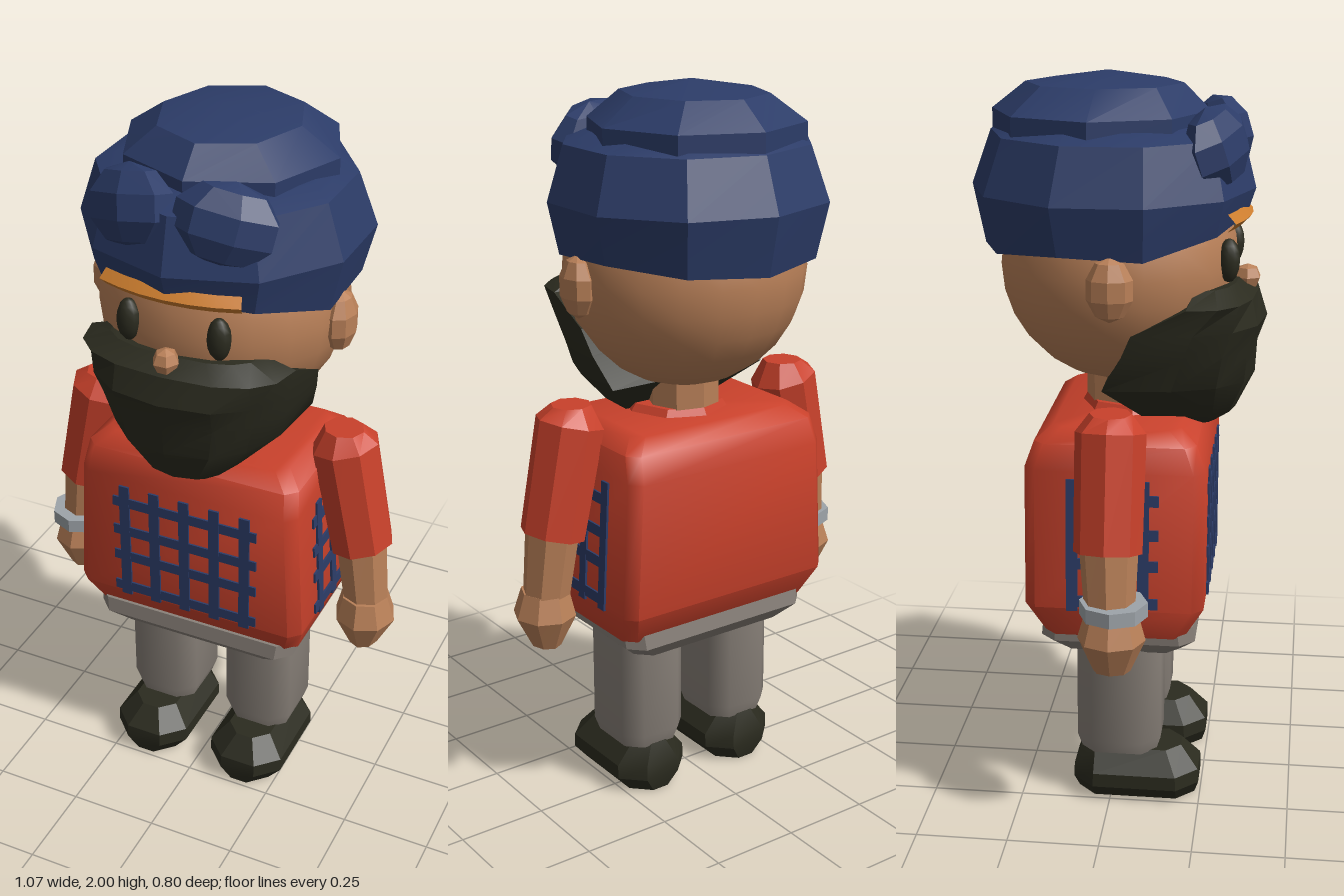
import * as THREE from 'three';
import { toCreasedNormals } from 'three/addons/utils/BufferGeometryUtils.js';

const paint = (name, color) => {
  const m = new THREE.MeshStandardMaterial({ color });
  m.name = name;
  return m;
};

// Horizontal oval ring, starting at the front; tilt raises the +x side
function oval(n, y, rx, rz, cx = 0, cz = 0, tilt = 0) {
  return Array.from({ length: n }, (_, i) => {
    const a = (i / n) * Math.PI * 2, dx = Math.sin(a) * rx;
    return [cx + dx, y + tilt * dx, cz + Math.cos(a) * rz];
  });
}

// Horizontal rectangle ring with cut corners
function block(y, hx, hz, c, cx = 0, cz = 0) {
  const corners = [[hx - c, hz], [hx, hz - c], [hx, c - hz], [hx - c, -hz],
    [c - hx, -hz], [-hx, c - hz], [-hx, hz - c], [c - hx, hz]];
  return corners.map(([x, z]) => [cx + x, y, cz + z]);
}

// Skin a stack of rings from bottom to top and cap both ends
function loft(rings, crease = 0.5) {
  const n = rings[0].length, index = [];
  for (let r = 0; r < rings.length - 1; r++) {
    for (let i = 0; i < n; i++) {
      const j = (i + 1) % n, a = r * n + i, b = r * n + j;
      index.push(a, b, b + n, a, b + n, a + n);
    }
  }
  const top = (rings.length - 1) * n;
  for (let i = 1; i < n - 1; i++) {
    index.push(0, i + 1, i, top, top + i, top + i + 1);
  }
  const g = new THREE.BufferGeometry();
  g.setAttribute('position', new THREE.Float32BufferAttribute(rings.flat(2), 3));
  g.setIndex(index);
  return toCreasedNormals(g, crease);
}

export function createModel() {
  const model = new THREE.Group();
  model.name = 'beardedFigure';
  const navy = paint('navyCloth', 0x2c3c68);
  const red = paint('redShirt', 0xc9412b);
  const skin = paint('skin', 0xb98058);
  const grey = paint('greyTrousers', 0x8a827a);
  const dark = paint('darkBrown', 0x2b2b1f);
  const orange = paint('orangeBand', 0xcc7d2e);
  const metal = paint('metal', 0x9ea4a9);

  const add = (name, geometry, material, x = 0, y = 0, z = 0, parent = model) => {
    const mesh = new THREE.Mesh(geometry, material);
    mesh.name = name;
    mesh.position.set(x, y, z);
    parent.add(mesh);
    return mesh;
  };
  const ball = (rx, ry, rz, w = 8, h = 6) => new THREE.SphereGeometry(1, w, h).scale(rx, ry, rz);

  // Torso, collar and hips
  add('shirt', loft([
    block(0.53, 0.31, 0.19, 0.03, 0, 0.02), block(0.62, 0.34, 0.24, 0.03, 0, 0.02),
    block(1.0, 0.32, 0.24, 0.03, 0, 0.02), block(1.07, 0.31, 0.215, 0.03, 0, 0.02),
    block(1.105, 0.265, 0.17, 0.03, 0, 0.02)], 0.9), red);
  add('collar', loft([oval(8, 1.07, 0.17, 0.17, 0, 0.05), oval(8, 1.125, 0.13, 0.14, 0, 0.05)]), red);
  add('neck', loft([oval(8, 1.05, 0.1, 0.1, 0, 0.01), oval(8, 1.26, 0.1, 0.1, 0, 0.01)], 0.4), skin);
  add('hips', loft([
    block(0.46, 0.25, 0.17, 0.04, 0, 0.025), block(0.505, 0.3, 0.21, 0.04, 0, 0.025),
    block(0.55, 0.305, 0.205, 0.04, 0, 0.025)]), grey);

  // Checked pattern: thin bars on the front and both sides
  const grid = (name, columns, from, to) => {
    const g = new THREE.Group();
    g.name = name;
    model.add(g);
    for (const x of columns) add('verticalBar', new THREE.BoxGeometry(0.03, 0.365, 0.008), navy, x, 0, 0, g);
    for (const y of [0.13, 0.036, -0.05, -0.155]) {
      add('horizontalBar', new THREE.BoxGeometry(to - from, 0.03, 0.007), navy, (from + to) / 2, y, 0, g);
    }
    return g;
  };
  grid('frontChecks', [-0.18, -0.09, 0, 0.09, 0.18], -0.215, 0.215).position.set(0, 0.798, 0.262);
  for (const s of [1, -1]) {
    const side = grid('sideChecks', [-0.1, -0.005, 0.09], -0.14, 0.105);
    if (s < 0) side.children.forEach((bar) => { bar.position.x *= -1; });
    side.position.set(s * 0.333, 0.798, 0);
    side.rotation.set(-0.053, s * Math.PI / 2, 0, 'YXZ');
  }

  for (const s of [1, -1]) {
    const label = s > 0 ? 'left' : 'right';
    // Arm
    add(label + 'Sleeve', loft([
      oval(8, 0.82, 0.086, 0.09, s * 0.426, 0.018, s * 0.25),
      oval(8, 1.125, 0.092, 0.093, s * 0.363, 0.018, s * 0.25),
      oval(8, 1.175, 0.055, 0.055, s * 0.358, 0.018)]), red);
    add(label + 'Forearm', loft([
      oval(8, 0.64, 0.065, 0.065, s * 0.447, 0.025),
      oval(8, 0.84, 0.074, 0.078, s * 0.424, 0.02)]), skin);
    add(label + 'Hand', loft([
      oval(8, 0.5, 0.04, 0.05, s * 0.45, 0.03), oval(8, 0.59, 0.086, 0.09, s * 0.45, 0.03),
      oval(8, 0.66, 0.066, 0.07, s * 0.447, 0.03)]), skin);

    // Leg and shoe
    add(label + 'Leg', loft([
      block(0.14, 0.09, 0.105, 0.04, s * 0.152, 0.022), block(0.18, 0.103, 0.117, 0.045, s * 0.152, 0.022),
      block(0.48, 0.103, 0.117, 0.045, s * 0.152, 0.022)], 0.9), grey);
    add(label + 'Shoe', loft([
      block(0, 0.075, 0.165, 0.05, s * 0.155, 0.07), block(0.045, 0.113, 0.177, 0.06, s * 0.155, 0.07),
      block(0.085, 0.113, 0.175, 0.06, s * 0.155, 0.07),
      block(0.145, 0.065, 0.14, 0.04, s * 0.155, 0.055)]), dark);

    // Face parts
    add(label + 'Ear', toCreasedNormals(ball(0.045, 0.085, 0.063, 8, 5), 0.3), skin, s * 0.332, 1.49, 0.012);
    add(label + 'Eye', ball(0.032, 0.058, 0.03, 10, 8), dark, s * 0.125, 1.53, 0.3);

    // Knotted fold of the hat
    const fold = add(label + 'HatFold', toCreasedNormals(ball(0.14, 0.105, 0.075, 7, 5), 0.3),
      navy, s * 0.13, 1.825, 0.265);
    fold.rotation.set(-0.25, s * 0.35, s * -0.15);
  }

  add('bracelet', loft([oval(8, 0.655, 0.09, 0.09, -0.447, 0.035), oval(8, 0.695, 0.09, 0.09, -0.447, 0.035)]), metal);

  // Head
  add('head', ball(0.335, 0.325, 0.32, 20, 14), skin, 0, 1.505, 0);
  add('nose', toCreasedNormals(ball(0.036, 0.035, 0.038, 6, 4), 0.3), skin, 0, 1.462, 0.345);

  // Beard: squarish arcs wrapping the jaw, [y, half width, back z, front z]
  const jaw = [[1.068, 0.08, 0.19, 0.27], [1.1, 0.14, 0.08, 0.32], [1.2, 0.25, -0.02, 0.37],
    [1.29, 0.28, 0.03, 0.375], [1.36, 0.295, 0.06, 0.4], [1.43, 0.29, 0.2, 0.375], [1.465, 0.21, 0.22, 0.325]];
  const pow = (v) => Math.sign(v) * Math.abs(v) ** 0.8;
  add('beard', loft(jaw.map(([y, rx, back, front]) => Array.from({ length: 9 }, (_, i) => {
    const a = (i / 8 - 0.5) * Math.PI;
    return [pow(Math.sin(a)) * rx, y, back + pow(Math.max(0, Math.cos(a))) * (front - back)];
  })), 0.45), dark);

  // Hat: ten-sided band with a raised front hem, and an eight-sided crown
  const hem = [1.63, 1.605, 1.56, 1.57, 1.55, 1.54];
  const hemRing = oval(10, 0, 0.352, 0.352, 0, -0.013).map(([x, , z], i) => [x, hem[Math.min(i, 10 - i)], z]);
  add('hatBand', loft([hemRing, oval(10, 1.7, 0.385, 0.38, 0, -0.018),
    oval(10, 1.845, 0.335, 0.335, 0, -0.01), oval(10, 1.87, 0.27, 0.27, 0, -0.03)], 0.45), navy);
  add('hatCrown', loft([oval(8, 1.83, 0.29, 0.29, 0, -0.05), oval(8, 1.9, 0.29, 0.29, 0, -0.05),
    oval(8, 1.97, 0.19, 0.21, 0, -0.04), oval(8, 2.0, 0.01, 0.01, 0, -0.03)], 0.45), navy);

  // Orange strip under the hat hem
  const strip = new THREE.QuadraticBezierCurve3(new THREE.Vector3(-0.185, 1.637, 0.298),
    new THREE.Vector3(0, 1.637, 0.368), new THREE.Vector3(0.185, 1.637, 0.298));
  add('headband', toCreasedNormals(new THREE.TubeGeometry(strip, 6, 0.023, 4), 0.4), orange);

  return model;
}
